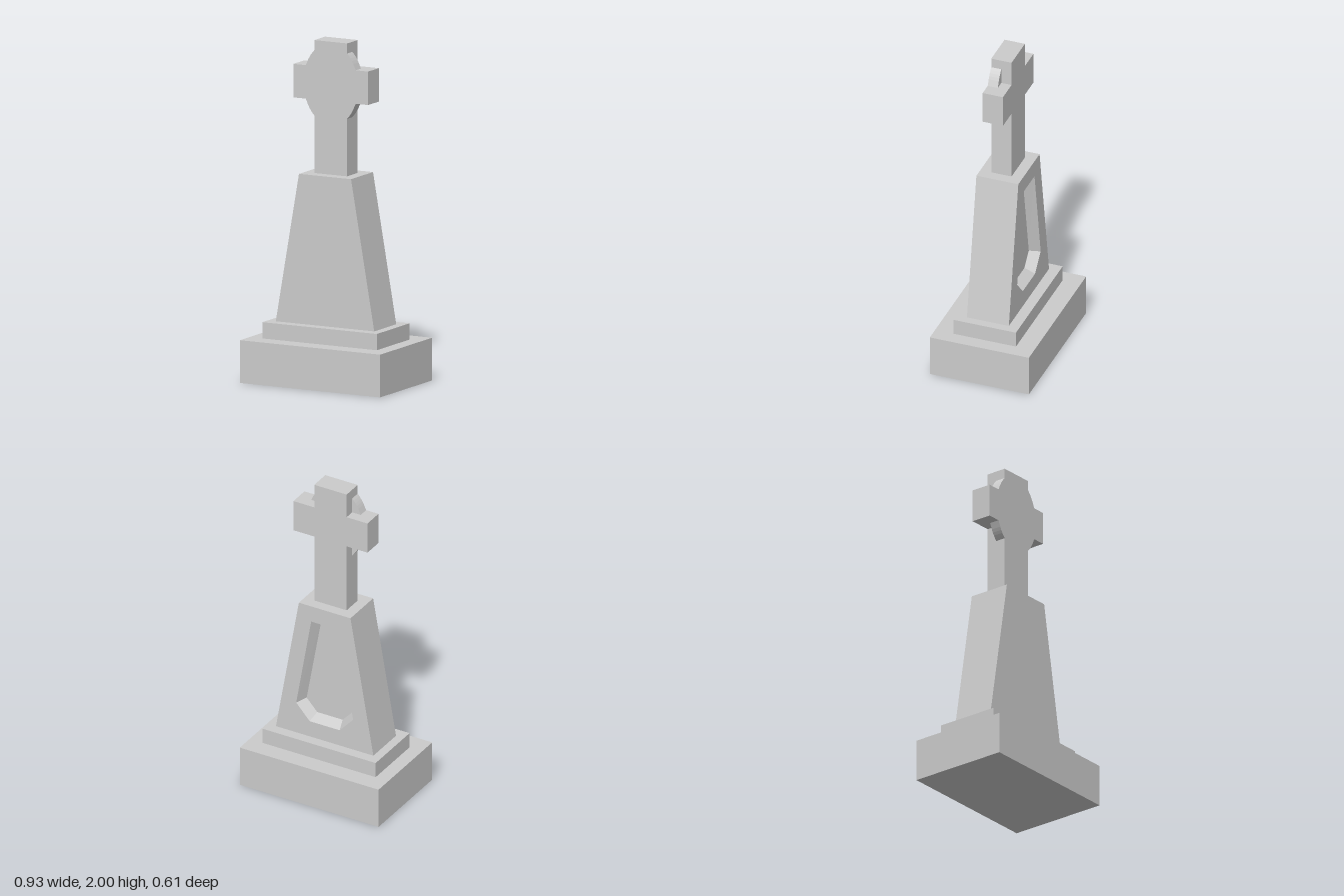
import * as THREE from 'three';
import { mergeGeometries } from 'three/addons/utils/BufferGeometryUtils.js';

const material = new THREE.MeshStandardMaterial({ color: 0xcccccc, flatShading: true });
const toShape = (pts) => new THREE.Shape(pts.map(([x, y]) => new THREE.Vector2(x, y)));

// Right-hand points of a symmetric outline, bottom to top, closed with their mirror image
const mirrored = (right) => [...right, ...right.map(([x, y]) => [-x, y]).reverse()];

// Flat face at depth z, facing +z or (back = true) -z; the shape is symmetric in x
function face(shape, z, back = false) {
  const g = new THREE.ShapeGeometry(shape).toNonIndexed();
  if (back) g.rotateY(Math.PI);
  g.translate(0, 0, z);
  g.deleteAttribute('uv');
  return g;
}

// Band of quads joining two matching loops
function band(loopA, zA, loopB, zB) {
  const pos = [];
  loopA.forEach((a, i) => {
    const j = (i + 1) % loopA.length;
    const [ai, aj, bi, bj] = [[...a, zA], [...loopA[j], zA], [...loopB[i], zB], [...loopB[j], zB]];
    pos.push(...ai, ...bi, ...bj, ...ai, ...bj, ...aj);
  });
  const g = new THREE.BufferGeometry();
  g.setAttribute('position', new THREE.Float32BufferAttribute(pos, 3));
  g.computeVertexNormals();
  return g;
}

export function createModel() {
  const model = new THREE.Group();
  const add = (name, geometry, parent = model) => {
    const mesh = new THREE.Mesh(geometry, material);
    mesh.name = name;
    parent.add(mesh);
    return mesh;
  };
  const block = (name, w, y0, y1, d) =>
    add(name, new THREE.BoxGeometry(w, y1 - y0, d).translate(0, (y0 + y1) / 2, 0));

  // Stepped foot
  block('base', 0.926, 0, 0.25, 0.61);
  block('plinth', 0.756, 0.25, 0.345, 0.386);

  // Tapered pedestal with a bevelled panel sunk into its back
  const half = 0.129, floorZ = -0.069;
  const outline = mirrored([[0.325, 0.345], [0.172, 1.222]]);
  const rim = mirrored([[0.1, 0.447], [0.19, 0.545], [0.09, 1.12]]);
  const floor = mirrored([[0.085, 0.482], [0.155, 0.558], [0.061, 1.085]]);
  const backShape = toShape(outline);
  backShape.holes.push(toShape(rim));
  add('pedestal', mergeGeometries([
    face(toShape(outline), half),
    band(outline, half, outline, -half),
    face(backShape, -half, true),
    band(rim, -half, floor, floorZ),
    face(toShape(floor), floorZ, true),
  ]));

  // Cross
  const front = 0.062, crossDepth = 0.125;
  const crossShape = toShape(mirrored([
    [0.108, 1.222], [0.108, 1.652], [0.247, 1.652], [0.247, 1.848], [0.108, 1.848], [0.108, 2],
  ]));
  add('cross', new THREE.ExtrudeGeometry(crossShape, { depth: crossDepth, bevelEnabled: false })
    .translate(0, 0, front - crossDepth));

  // Curved webs between the arms, filling only the front half of the depth
  const webs = new THREE.Group();
  webs.name = 'ringWebs';
  model.add(webs);
  for (const sx of [1, -1]) for (const sy of [1, -1]) {
    const pts = [[0.108, 0.098], [0.165, 0.098]];
    for (let i = 1; i <= 6; i++) {
      const t = 0.42 + (0.924 - 0.42) * (i / 6);
      pts.push([0.179 * Math.cos(t), 0.24 * Math.sin(t)]);
    }
    const shape = toShape(pts.map(([x, y]) => [sx * x, 1.75 + sy * y]));
    add('ringWeb', new THREE.ExtrudeGeometry(shape, { depth: front, bevelEnabled: false }), webs);
  }
  return model;
}
